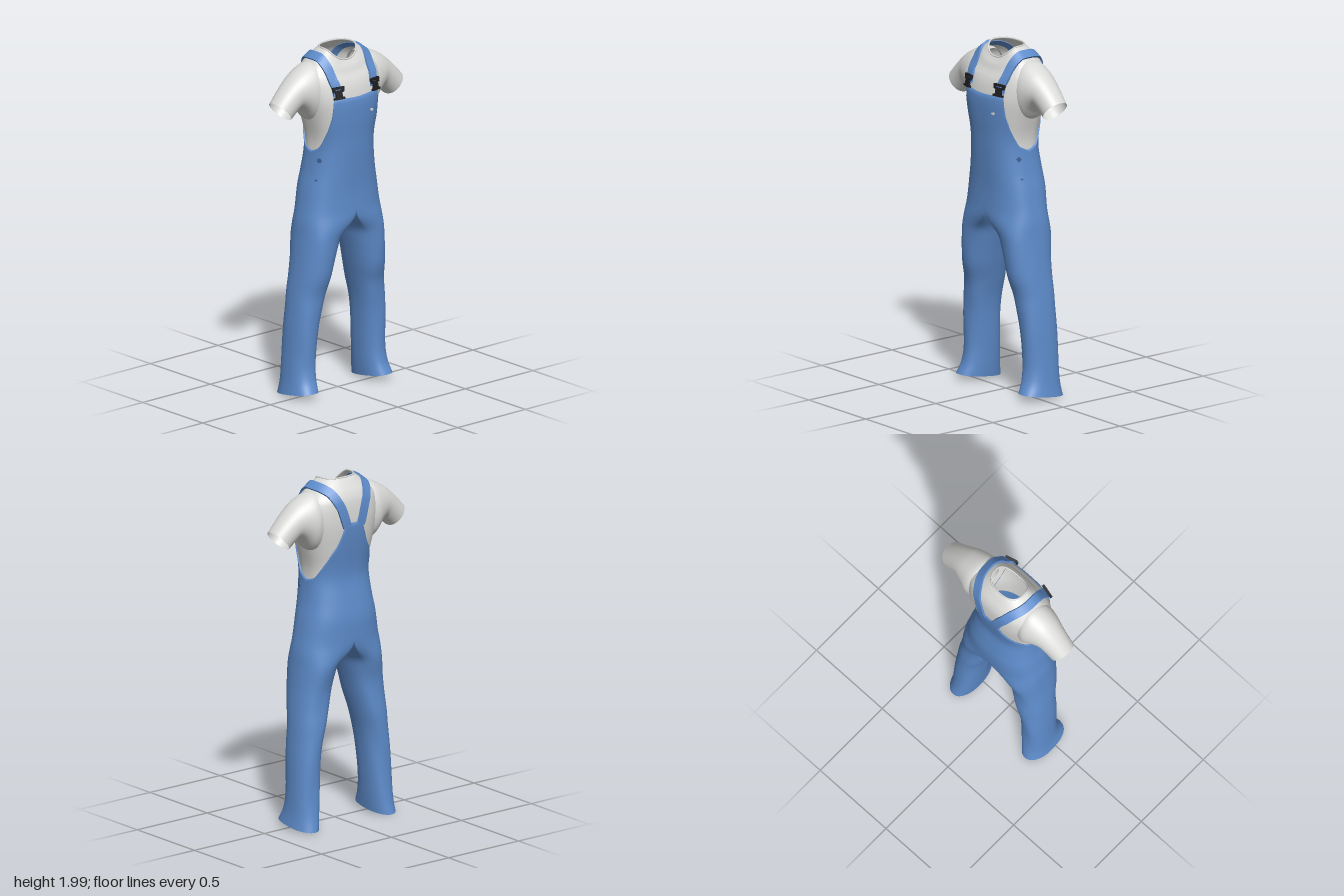
import * as THREE from 'three';
import { mergeGeometries, mergeVertices } from 'three/addons/utils/BufferGeometryUtils.js';

const V = (x, y, z) => new THREE.Vector3(x, y, z);
const rad = THREE.MathUtils.degToRad;
const lerp = THREE.MathUtils.lerp;
const spow = (v, p) => Math.sign(v) * Math.pow(Math.abs(v), p);

// Body rows: height, half width, front z, back z, drop of the front edge
const BODY = [
  [0.9, 0.275, 0.143, -0.152, 0], [1.0, 0.262, 0.15, -0.165, 0], [1.1, 0.243, 0.146, -0.17, 0],
  [1.2, 0.226, 0.145, -0.17, 0], [1.3, 0.206, 0.15, -0.155, 0], [1.42, 0.192, 0.157, -0.135, 0],
  [1.5, 0.195, 0.161, -0.14, 0], [1.6, 0.218, 0.168, -0.155, 0], [1.7, 0.243, 0.17, -0.167, 0],
  [1.78, 0.253, 0.158, -0.17, 0.01], [1.87, 0.238, 0.14, -0.163, 0.05], [1.92, 0.2, 0.115, -0.145, 0.06],
  [1.955, 0.16, 0.1, -0.12, 0.062], [1.98, 0.125, 0.085, -0.1, 0.065], [1.995, 0.105, 0.075, -0.085, 0.065],
];
// Leg rows: height, inner x, outer x, front z, back z
const LEG = [
  [0.03, 0.197, 0.354, 0.115, -0.165], [0.1, 0.19, 0.343, 0.085, -0.153], [0.2, 0.182, 0.336, 0.07, -0.145],
  [0.4, 0.165, 0.326, 0.08, -0.14], [0.5, 0.15, 0.318, 0.088, -0.14], [0.6, 0.126, 0.309, 0.097, -0.143],
  [0.7, 0.1, 0.298, 0.122, -0.14], [0.8, 0.076, 0.287, 0.135, -0.141], [0.9, 0.05, 0.277, 0.145, -0.155],
  [1.0, 0.024, 0.266, 0.155, -0.17], [1.08, 0, 0.255, 0.156, -0.178],
];
// Top edge of the overalls: angle (-90 back, 0 side, 90 front), height
const EDGE = [
  [-90, 1.75], [-81, 1.76], [-78, 1.7], [-69.5, 1.63], [-49, 1.54], [-20, 1.44], [0, 1.42],
  [17, 1.45], [37, 1.55], [50, 1.64], [57, 1.745], [90, 1.735],
];

// Smooth lookup in a table whose first column is the key
function sample(rows, k) {
  let i = 0;
  while (i < rows.length - 2 && k > rows[i + 1][0]) i++;
  const a = rows[i], b = rows[i + 1], h = b[0] - a[0];
  const u = THREE.MathUtils.clamp((k - a[0]) / h, 0, 1);
  const slope = (j, c) => {
    const p = rows[Math.max(j - 1, 0)], q = rows[Math.min(j + 1, rows.length - 1)];
    return (q[c] - p[c]) / (q[0] - p[0]);
  };
  return a.map((_, c) => {
    const u2 = u * u, u3 = u2 * u;
    return a[c] * (2 * u3 - 3 * u2 + 1) + b[c] * (3 * u2 - 2 * u3)
      + h * (slope(i, c) * (u3 - 2 * u2 + u) + slope(i + 1, c) * (u3 - u2));
  });
}
function edgeHeight(deg) {
  let i = 0;
  while (i < EDGE.length - 2 && deg > EDGE[i + 1][0]) i++;
  const [a, b] = [EDGE[i], EDGE[i + 1]];
  return lerp(a[1], b[1], (deg - a[0]) / (b[0] - a[0]));
}

// Point and outward normal on the body
function body(y, t, off = 0) {
  const [, hw, zf, zb, drop] = sample(BODY, y);
  const c = Math.cos(t), s = Math.sin(t);
  return V((hw + off) * spow(c, 0.8), y - (s > 0 ? drop * s * s : 0),
    s > 0 ? (zf + off) * spow(s, 0.8) : -(zb - off) * spow(s, 0.8));
}
function bodyNormal(y, t) {
  const up = body(y + 0.004, t).sub(body(y - 0.004, t));
  const along = body(y, t + 0.03).sub(body(y, t - 0.03));
  return up.cross(along).normalize();
}

// Skin over rings of points
function loft(rings) {
  const n = rings[0].length, index = [];
  for (let r = 0; r < rings.length - 1; r++) for (let i = 0; i < n - 1; i++) {
    const a = r * n + i, b = a + n;
    index.push(a, b, a + 1, a + 1, b, b + 1);
  }
  const g = new THREE.BufferGeometry().setFromPoints(rings.flat());
  g.setIndex(index);
  return g;
}
function smooth(...parts) {
  const g = mergeVertices(mergeGeometries(parts), 1e-4);
  g.computeVertexNormals();
  return g;
}
const range = (n, f) => Array.from({ length: n + 1 }, (_, i) => f(i / n));

const CLOTH = 0.008;
const HIP = 1.08;

// Seat and bib, ending in a folded edge
function trunkGeometry() {
  return loft(range(29, (v) => range(96, (u) => {
    const t = rad(-90 + 360 * u);
    const top = edgeHeight(THREE.MathUtils.radToDeg(Math.asin(Math.sin(t))));
    return v === 1 ? body(top, t, -0.003) : body(lerp(HIP, top, v * 29 / 28), t, CLOTH);
  })));
}

// Trouser leg: half of the hip section easing into an oval
function legGeometry(side) {
  return loft(range(48, (v) => {
    const y = lerp(0.03, HIP, v);
    const [, xi, xo, zf, zb] = sample(LEG, y);
    const w = 1 - THREE.MathUtils.smoothstep(y, 0.91, 1.075);
    const oval = (deg) => {
      const a = rad(deg), fold = 1 + 0.025 * w * Math.sin(3 * a + 13 * y);
      return V((xi + xo) / 2 + (xo - xi) / 2 * spow(Math.cos(a), 0.88),
        y, (zf + zb) / 2 + (zf - zb) / 2 * spow(Math.sin(a), 0.88) * fold);
    };
    const outer = range(48, (u) => body(y, rad(-90 + 180 * u), CLOTH).lerp(oval(-117 + 234 * u), w));
    const inner = range(20, (u) => {
      const p = body(y, rad(90 - 180 * u), CLOTH);
      return p.setX(0).lerp(oval(117 + 126 * u), w);
    });
    const ring = [...outer, ...inner.slice(1)];
    // Sloping hem
    ring.forEach((p) => { p.y += p.z * 0.14 * (1 - THREE.MathUtils.smoothstep(y, 0.03, 0.25)); p.x *= side; });
    return side > 0 ? ring : ring.reverse();
  }));
}

function shirtGeometry() {
  const levels = [1.34];
  for (let i = 5; i < BODY.length; i++) for (let k = 1; k <= 4; k++) {
    levels.push(lerp(BODY[i - 1][0], BODY[i][0], k / 4));
  }
  return loft(levels.filter((y) => y >= 1.34).map((y) => range(72, (u) => body(y, rad(-90 + 360 * u)))));
}

// Sleeve rings: top x, top y, bottom x, bottom y, front z, back z
function sleeveGeometry() {
  const rows = [
    [0, 0.15, 1.925, 0.17, 1.58, 0.085, -0.125], [1, 0.21, 1.928, 0.222, 1.605, 0.1, -0.14],
    [2, 0.29, 1.893, 0.262, 1.657, 0.088, -0.122], [3, 0.35, 1.85, 0.295, 1.685, 0.072, -0.106],
    [4, 0.41, 1.795, 0.33, 1.662, 0.064, -0.096], [5, 0.46, 1.742, 0.365, 1.632, 0.06, -0.09],
  ];
  return loft(range(24, (v) => {
    const [, tx, ty, bx, by, zf, zb] = sample(rows, v * 5);
    return range(40, (u) => {
      const a = -u * Math.PI * 2, k = 0.5 + 0.5 * Math.cos(a);
      return V(lerp(bx, tx, k), lerp(by, ty, k), (zf + zb) / 2 + (zf - zb) / 2 * spow(Math.sin(a), 0.9));
    }).reverse();
  }));
}

// Strap over the shoulder: (angle, height) on the body
function strapGeometry() {
  const path = new THREE.CatmullRomCurve3([
    [64, 1.765], [60.5, 1.85], [47, 1.92], [22, 1.95], [-6, 1.956], [-38, 1.945], [-58, 1.92],
    [-73, 1.86], [-83, 1.735],
  ].map(([d, y]) => V(rad(d), y * 5, 0)));
  const at = (u) => { const p = path.getPoint(u); return [p.y / 5, p.x]; };
  return loft(range(48, (u) => {
    const p = body(...at(u)), n = bodyNormal(...at(u));
    const dir = body(...at(Math.min(u + 0.01, 1))).sub(body(...at(Math.max(u - 0.01, 0)))).normalize();
    const across = dir.cross(n).normalize();
    return [[-1, -0.004], [-1, 0.011], [1, 0.011], [1, -0.004], [-1, -0.004]].map(([s, h]) =>
      p.clone().addScaledVector(across, s * 0.027).addScaledVector(n, h));
  }));
}

export function createModel() {
  const mat = (name, color, side = THREE.DoubleSide) => {
    const m = new THREE.MeshStandardMaterial({ color, side });
    m.name = name;
    return m;
  };
  const denim = mat('denimBlue', 0x5e8ccb), cotton = mat('lightGreyCotton', 0xdadad8);
  const black = mat('blackPlastic', 0x1d1d20), rivet = mat('darkBlueRivet', 0x3f5f92);
  const model = new THREE.Group();
  model.name = 'overallsAndShirt';
  const add = (parent, name, geometry, material) => {
    const m = new THREE.Mesh(geometry, material);
    m.name = name;
    parent.add(m);
    return m;
  };
  // Place an object on the body, its z axis pointing outward
  const seat = (obj, y, deg, h) => {
    const n = bodyNormal(y, rad(deg));
    obj.position.copy(body(y, rad(deg))).addScaledVector(n, h);
    obj.quaternion.setFromUnitVectors(V(0, 0, 1), n);
    return obj;
  };
  const disc = (r) => new THREE.CylinderGeometry(r, r, 0.006, 16).rotateX(Math.PI / 2);

  add(model, 'overalls', smooth(trunkGeometry(), legGeometry(1), legGeometry(-1)), denim);
  add(model, 'shirtBody', smooth(shirtGeometry()), cotton);
  const neck = new THREE.CatmullRomCurve3(range(32, (u) => body(1.994, u * Math.PI * 2)).slice(0, -1), true);
  add(model, 'collar', new THREE.TubeGeometry(neck, 64, 0.005, 6, true), cotton);

  const sleeve = smooth(sleeveGeometry());
  const strap = strapGeometry().toNonIndexed();
  strap.computeVertexNormals();

  for (const s of [1, -1]) {
    const half = new THREE.Group();
    half.name = s > 0 ? 'leftFittings' : 'rightFittings';
    half.scale.x = s;
    model.add(half);
    add(half, 'sleeve', sleeve, cotton);
    add(half, 'strap', strap, denim);

    // Buckle: bars, clasp and prongs
    const buckle = seat(new THREE.Group(), 1.775, 64, 0.016);
    buckle.name = 'buckle';
    half.add(buckle);
    for (const [w, h, d, x, y] of [
      [0.072, 0.014, 0.016, 0, 0.034], [0.062, 0.01, 0.014, 0, 0.016], [0.04, 0.034, 0.014, 0, -0.002],
      [0.066, 0.012, 0.016, 0, -0.024], [0.012, 0.026, 0.014, 0.028, 0.026], [0.012, 0.026, 0.014, -0.028, 0.026],
    ]) add(buckle, 'buckleBar', new THREE.BoxGeometry(w, h, d).translate(x, y, 0), black);

    // Side fastening
    seat(add(half, 'sideButton', disc(0.013), rivet), 1.375, 19, 0.009);
    seat(add(half, 'sideRivet', disc(0.006), rivet), 1.262, 17, 0.009);
  }

  // Small pale button on the bib
  const button = seat(add(model, 'bibButton', disc(0.011), cotton), 1.637, 70, 0.011);
  button.scale.y = 0.7;
  return model;
}
